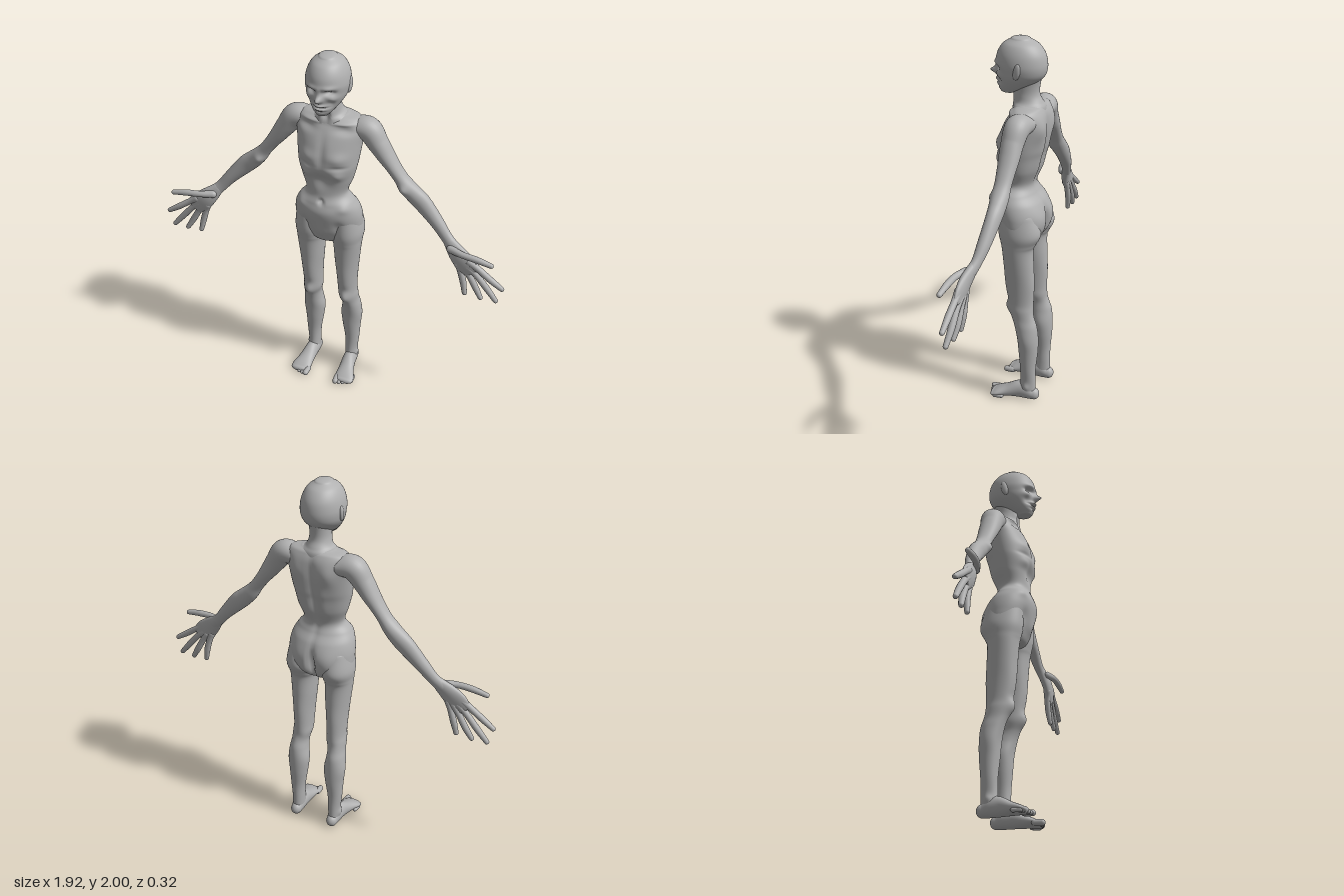
import * as THREE from 'three';

const skin = new THREE.MeshStandardMaterial({ color: 0xb0b0b0 });
skin.name = 'grey skin';

const V = (x, y, z) => new THREE.Vector3(x, y, z);

// Smooth loft through sections [x, y, z, radiusA, radiusB] with rounded ends.
// dir fixes the ring normal; without it the rings follow the path.
function loft(sections, { seg = 32, div = 8, cap = 1, dir = null, ref = V(0, 0, 1) } = {}) {
  const path = new THREE.CatmullRomCurve3(sections.map(s => V(s[0], s[1], s[2])), false, 'catmullrom');
  const size = new THREE.CatmullRomCurve3(sections.map(s => V(s[3], s[4], 0)), false, 'catmullrom');
  const pos = [], index = [], n = (sections.length - 1) * div;
  let rings = 0;
  const ring = (k, shift, scale) => {
    const c = path.getPoint(k), r = size.getPoint(k), t = dir || path.getTangent(k);
    const u = t.clone().cross(ref).normalize(), v = t.clone().cross(u);
    c.addScaledVector(t, shift * Math.min(r.x, r.y) * cap);
    for (let j = 0; j < seg; j++) {
      const a = j / seg * Math.PI * 2;
      const p = c.clone().addScaledVector(u, Math.cos(a) * r.x * scale).addScaledVector(v, Math.sin(a) * r.y * scale);
      pos.push(p.x, p.y, p.z);
    }
    rings++;
  };
  const steps = 6;
  for (let i = steps; i > 0; i--) ring(0, -Math.sin(i / steps * Math.PI / 2), Math.cos(i / steps * Math.PI / 2));
  for (let i = 0; i <= n; i++) ring(i / n, 0, 1);
  for (let i = 1; i <= steps; i++) ring(1, Math.sin(i / steps * Math.PI / 2), Math.cos(i / steps * Math.PI / 2));
  for (let i = 0; i < rings - 1; i++) for (let j = 0; j < seg; j++) {
    const a = i * seg + j, b = i * seg + (j + 1) % seg;
    index.push(a, b, a + seg, b, b + seg, a + seg);
  }
  const g = new THREE.BufferGeometry();
  g.setAttribute('position', new THREE.Float32BufferAttribute(pos, 3));
  g.setIndex(index);
  g.computeVertexNormals();
  return g;
}

// Loft of level rings, top to bottom: [y, centreX, halfWidth, frontZ, backZ]
const stack = (rows, opt) => loft(
  rows.map(([y, x, w, f, b]) => [x, y, (f + b) / 2, w, (f - b) / 2]), { dir: V(0, -1, 0), ...opt });

// Push the surface with soft mirrored bumps: [x, y, z, rx, ry, rz, push along z, push along x]
function sculpt(g, bumps) {
  const p = g.attributes.position;
  for (let i = 0; i < p.count; i++) {
    const x = p.getX(i), y = p.getY(i), z = p.getZ(i);
    let dx = 0, dz = 0;
    for (const [bx, by, bz, rx, ry, rz, pz, px = 0] of bumps) for (const s of bx ? [1, -1] : [1]) {
      const w = Math.exp(-(((x - s * bx) / rx) ** 2) - ((y - by) / ry) ** 2 - ((z - bz) / rz) ** 2);
      dz += pz * w;
      dx += s * px * w;
    }
    p.setXYZ(i, x + dx, y, z + dz);
  }
  g.computeVertexNormals();
  return g;
}

function mirrored(g) {
  const m = g.clone().scale(-1, 1, 1), a = m.index.array;
  for (let i = 0; i < a.length; i += 3) [a[i], a[i + 1]] = [a[i + 1], a[i]];
  m.computeVertexNormals();
  return m;
}

export function createModel() {
  const model = new THREE.Group();
  model.name = 'slender figure';
  const add = (name, g) => {
    const m = new THREE.Mesh(g, skin);
    m.name = name;
    model.add(m);
  };
  const pair = (name, g) => {
    add('left' + name, g);
    add('right' + name, mirrored(g));
  };

  // Head with brow, eye sockets, nose, cheeks and mouth
  add('head', sculpt(stack([
    [1.988, 0, .045, .05, -.052], [1.962, 0, .078, .09, -.095], [1.92, 0, .1, .117, -.125],
    [1.87, 0, .109, .126, -.136], [1.83, 0, .105, .121, -.132], [1.80, 0, .096, .12, -.115],
    [1.77, 0, .078, .12, -.08], [1.74, 0, .055, .116, -.03], [1.72, 0, .035, .105, .02],
  ], { seg: 80, div: 12, cap: .27 }), [
    [0, 1.815, .13, .015, .016, .04, .04], [0, 1.84, .13, .012, .025, .04, .014],
    [.045, 1.848, .11, .026, .013, .05, -.024], [.045, 1.873, .11, .035, .012, .05, .008],
    [.065, 1.815, .09, .022, .016, .04, .01], [.05, 1.785, .1, .02, .022, .04, -.012],
    [0, 1.779, .12, .028, .008, .04, .012], [0, 1.768, .12, .034, .0055, .04, -.012],
    [0, 1.758, .12, .024, .007, .04, .008], [0, 1.745, .12, .03, .006, .04, -.006],
  ]));
  const ear = new THREE.SphereGeometry(1, 20, 14).scale(.012, .042, .02).rotateX(-.2).rotateY(-.25);
  pair('Ear', ear.translate(.104, 1.848, -.018));

  // Neck flaring into the shoulders
  add('neck', sculpt(stack([
    [1.83, 0, .055, .02, -.115], [1.76, 0, .052, .03, -.1], [1.715, 0, .054, .028, -.1],
    [1.68, 0, .066, .026, -.117], [1.655, 0, .1, .03, -.13], [1.61, 0, .13, .04, -.135],
  ], { seg: 48 }), [
    [.03, 1.7, .03, .012, .06, .03, .012], [0, 1.675, .03, .012, .02, .03, -.012],
  ]));

  // Torso and pelvis
  add('torso', sculpt(stack([
    [1.668, 0, .09, .005, -.115], [1.652, 0, .155, .018, -.13], [1.61, 0, .182, .05, -.145],
    [1.53, 0, .17, .09, -.148], [1.45, 0, .16, .11, -.138], [1.40, 0, .152, .114, -.124],
    [1.33, 0, .135, .1, -.108], [1.25, 0, .11, .093, -.08], [1.2, 0, .145, .11, -.095],
    [1.15, 0, .171, .122, -.13], [1.08, 0, .181, .11, -.15], [1.0, 0, .17, .08, -.143],
    [.95, 0, .1, .06, -.11], [.925, 0, .04, .02, -.06],
  ], { seg: 80, div: 10, cap: .1 }), [
    [0, 1.215, .11, .012, .014, .05, -.02], [0, 1.335, .1, .055, .05, .06, -.022],
    [0, 1.5, .1, .02, .1, .06, -.008], [.085, 1.475, .09, .05, .03, .06, .012],
    [.085, 1.425, .09, .045, .012, .06, -.007], [.085, 1.375, .09, .03, .025, .06, .01],
    [.09, 1.642, .02, .07, .01, .05, .012], [.1, 1.61, .04, .05, .018, .05, -.012],
    [0, 1.4, -.13, .018, .2, .06, .018], [.05, 1.4, -.12, .03, .15, .06, -.005],
    [.09, 1.56, -.13, .045, .06, .05, -.016], [.12, 1.185, .07, .035, .025, .06, .012],
    [.085, 1.06, -.13, .055, .07, .07, -.012], [0, 1.03, -.14, .016, .07, .08, .045],
    [.09, 1.06, .1, .025, .04, .05, -.012], [0, 1.02, .08, .04, .05, .05, .012],
  ]));

  // Legs with kneecaps and calves
  pair('Leg', sculpt(stack([
    [1.1, .1, .072, .08, -.12], [1.0, .1, .086, .08, -.146], [.94, .1, .08, .068, -.122],
    [.9, .102, .074, .06, -.107], [.8, .1, .065, .052, -.11], [.7, .1, .055, .045, -.114],
    [.6, .1, .05, .03, -.111], [.55, .103, .051, .02, -.115], [.5, .11, .046, .003, -.122],
    [.45, .113, .051, -.013, -.135], [.38, .111, .059, -.028, -.141], [.3, .111, .051, -.035, -.14],
    [.2, .115, .04, -.044, -.131], [.12, .113, .034, -.044, -.13], [.05, .113, .033, -.035, -.13],
  ], { seg: 48, cap: .3 }), [
    [.105, .555, .02, .03, .04, .04, .018], [.105, .61, .03, .03, .025, .04, -.004],
    [.15, .085, -.085, .03, .02, .02, 0, .008], [.1, .53, -.115, .03, .04, .04, .006],
  ]));

  // Feet and toes
  pair('Foot', loft([
    [.113, .036, -.122, .03, .034], [.114, .05, -.085, .036, .05], [.117, .05, -.03, .038, .05],
    [.124, .035, .03, .045, .034], [.131, .025, .075, .054, .023], [.134, .018, .1, .052, .017],
  ], { dir: V(0, 0, 1), ref: V(0, 1, 0) }));
  for (let i = 0; i < 5; i++) {
    const x = .091 + i * .021, z = .122 - i * i * .0022, r = i ? .011 : .016;
    pair('Toe' + (i + 1), loft([[x - .002, r + .003, z - .04, r, r], [x, r, z, r, r]],
      { dir: V(0, 0, 1), ref: V(0, 1, 0), seg: 14, div: 3 }));
  }

  // Arms from shoulder to wrist
  pair('Arm', sculpt(loft([
    [.12, 1.6, -.062, .05, .065], [.192, 1.598, -.057, .062, .064], [.243, 1.535, -.052, .053, .057],
    [.285, 1.475, -.052, .044, .053], [.325, 1.42, -.052, .036, .047], [.365, 1.365, -.052, .034, .043],
    [.4, 1.32, -.052, .041, .045], [.44, 1.28, -.053, .046, .042], [.49, 1.235, -.052, .047, .038],
    [.57, 1.15, -.042, .036, .033], [.625, 1.085, -.03, .031, .026], [.67, 1.04, -.015, .034, .024],
  ]), [[.39, 1.31, 0, .025, .025, .04, .014]]));

  // Hands
  pair('Palm', loft([
    [.645, 1.065, -.022, .031, .024], [.7, 1.01, -.003, .05, .026],
    [.745, .967, .002, .059, .022], [.783, .93, .002, .052, .015],
  ], { seg: 28 }));
  const digits = {
    Thumb: [[.665, 1.04, .01], [.73, 1.04, .035], [.81, 1.034, .042], [.885, 1.02, .045]],
    IndexFinger: [[.765, .985, .005], [.81, .955, .005], [.88, .905, .008], [.945, .862, .008]],
    MiddleFinger: [[.755, .955, .002], [.8, .915, 0], [.865, .84, 0], [.92, .776, .005]],
    RingFinger: [[.735, .945, 0], [.765, .9, -.004], [.805, .83, -.004], [.84, .772, .003]],
    LittleFinger: [[.705, .955, 0], [.72, .915, -.004], [.741, .845, -.004], [.756, .778, .003]],
  };
  const radii = [.021, .017, .017, .013];
  for (const [name, pts] of Object.entries(digits))
    pair(name, loft(pts.map((p, i) => [...p, radii[i], radii[i]]), { seg: 16, div: 6 }));

  return model;
}
